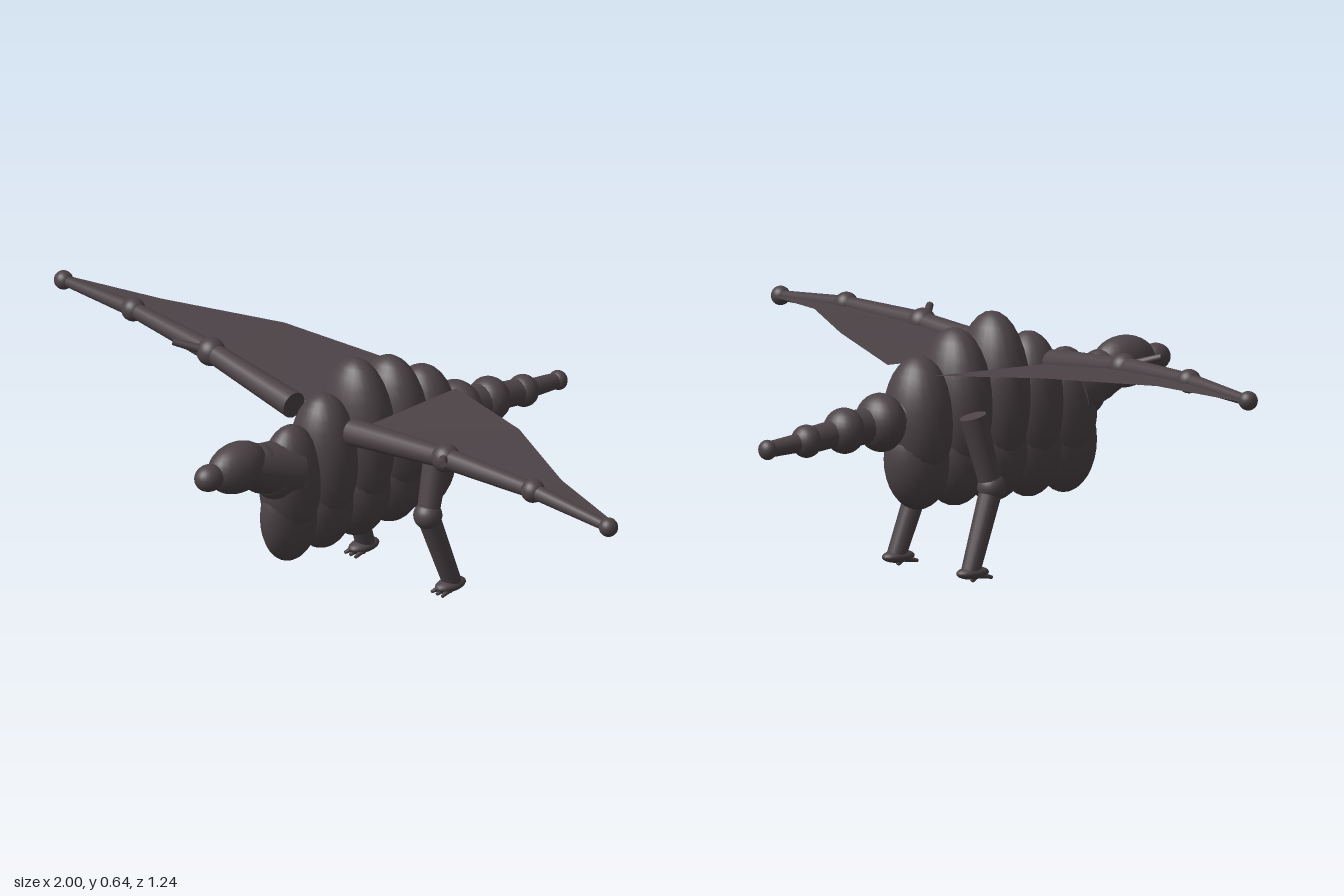
import * as THREE from 'three';

const hide = new THREE.MeshStandardMaterial({ color: 0x4c4347 });
hide.name = 'dark hide';
const wingSkin = new THREE.MeshStandardMaterial({ color: 0x4c4347, side: THREE.DoubleSide });
wingSkin.name = 'wing skin';

const V = (x, y, z) => new THREE.Vector3(x, y, z);

export function createModel() {
  const root = new THREE.Group();
  root.name = 'wingedCreature';

  const add = (parent, name, geo, mat = hide) => {
    const m = new THREE.Mesh(geo, mat);
    m.name = name;
    parent.add(m);
    return m;
  };
  const ball = (parent, name, p, rx, ry = rx, rz = rx) => {
    const m = add(parent, name, new THREE.SphereGeometry(1, 24, 16));
    m.position.copy(p);
    m.scale.set(rx, ry, rz);
    return m;
  };
  // Tapered cylinder from a to b
  const bone = (parent, name, a, b, ra, rb) => {
    const d = b.clone().sub(a);
    const m = add(parent, name, new THREE.CylinderGeometry(rb, ra, d.length(), 16));
    m.position.copy(a).addScaledVector(d, 0.5);
    m.quaternion.setFromUnitVectors(V(0, 1, 0), d.normalize());
    return m;
  };

  // Body: five overlapping ribs, each with a back and a belly lobe [z, top, back width, belly width]
  const body = new THREE.Group();
  body.name = 'body';
  root.add(body);
  [
    [0.305, 0.53, 0.07, 0.055],
    [0.195, 0.58, 0.09, 0.07],
    [0.085, 0.64, 0.11, 0.085],
    [-0.03, 0.61, 0.11, 0.085],
    [-0.14, 0.55, 0.095, 0.075],
  ].forEach(([z, top, back, belly]) => {
    const bottom = 0.225;
    ball(body, 'backLobe', V(0, (top + bottom) / 2, z), back, (top - bottom) / 2, 0.085);
    ball(body, 'bellyLobe', V(0, 0.295, z), belly, 0.128, 0.09);
  });

  // Neck, head and snout
  const head = new THREE.Group();
  head.name = 'headAndNeck';
  root.add(head);
  bone(head, 'neck', V(0, 0.42, 0.32), V(0, 0.465, 0.46), 0.075, 0.052);
  ball(head, 'neckJoint', V(0, 0.425, 0.36), 0.066, 0.075, 0.055);
  ball(head, 'neckJoint', V(0, 0.448, 0.41), 0.056, 0.064, 0.05);
  ball(head, 'skull', V(0, 0.475, 0.485), 0.056, 0.065, 0.088);
  ball(head, 'snout', V(0, 0.477, 0.58), 0.034, 0.034, 0.04);

  // Tail: shrinking joints linked by tapered bones [y, z, radius, length radius]
  const tail = new THREE.Group();
  tail.name = 'tail';
  root.add(tail);
  const joints = [
    [0.405, -0.17, 0.07, 0.06],
    [0.395, -0.255, 0.073, 0.058],
    [0.385, -0.365, 0.057, 0.05],
    [0.37, -0.48, 0.041, 0.037],
    [0.36, -0.598, 0.025, 0.022],
  ];
  joints.forEach(([y, z, r, rz], i) => {
    ball(tail, 'tailJoint', V(0, y, z), r, r, rz);
    const n = joints[i + 1];
    if (n) bone(tail, 'tailBone', V(0, y, z), V(0, n[0], n[1]), r * 0.6, n[2] * 0.8);
  });

  for (const s of [1, -1]) {
    const side = s > 0 ? 'left' : 'right';

    // Wing arm
    const wing = new THREE.Group();
    wing.name = side + 'Wing';
    root.add(wing);
    const arm = [
      V(s * 0.105, 0.513, 0.195), V(s * 0.42, 0.545, 0.178),
      V(s * 0.715, 0.553, 0.162), V(s * 0.975, 0.54, 0.152),
    ];
    bone(wing, 'upperArm', arm[0], arm[1], 0.034, 0.026);
    bone(wing, 'forearm', arm[1], arm[2], 0.027, 0.02);
    bone(wing, 'finger', arm[2], arm[3], 0.02, 0.013);
    ball(wing, 'elbow', arm[1], 0.036);
    ball(wing, 'wrist', arm[2], 0.03);
    ball(wing, 'fingertip', arm[3], 0.024);
    bone(wing, 'thumbClaw', V(s * 0.425, 0.55, 0.19), V(s * 0.483, 0.573, 0.247), 0.012, 0.009);

    // Wing membrane: strip of quads between the arm and the trailing edge
    const trail = [
      V(s * 0.1, 0.515, -0.16), V(s * 0.42, 0.543, 0.0 - 0.07),
      V(s * 0.715, 0.55, 0.065), V(s * 0.98, 0.54, 0.127),
    ];
    const pos = [];
    for (let i = 0; i < 3; i++) {
      const [a, b, c, d] = [arm[i], arm[i + 1], trail[i + 1], trail[i]];
      const tris = s > 0 ? [a, b, c, a, c, d] : [a, c, b, a, d, c];
      tris.forEach((p) => pos.push(p.x, p.y, p.z));
    }
    const skin = new THREE.BufferGeometry();
    skin.setAttribute('position', new THREE.Float32BufferAttribute(pos, 3));
    skin.computeVertexNormals();
    // Corner order is chosen so the upper face is the front
    if (skin.attributes.normal.getY(0) < 0) {
      for (let i = 0; i < pos.length; i += 9) {
        for (let k = 0; k < 3; k++) [pos[i + k], pos[i + 3 + k]] = [pos[i + 3 + k], pos[i + k]];
      }
      skin.setAttribute('position', new THREE.Float32BufferAttribute(pos, 3));
      skin.computeVertexNormals();
    }
    add(wing, 'membrane', skin, wingSkin);

    // Leg and foot
    const leg = new THREE.Group();
    leg.name = side + 'Leg';
    root.add(leg);
    const hip = V(s * 0.132, 0.41, -0.07);
    const knee = V(s * 0.144, 0.23, -0.022);
    const ankle = V(s * 0.155, 0.025, -0.095);
    bone(leg, 'thigh', hip, knee, 0.034, 0.028);
    ball(leg, 'knee', knee, 0.036);
    bone(leg, 'shin', knee, ankle, 0.029, 0.024);
    ball(leg, 'foot', V(s * 0.155, 0.025, -0.088), 0.027, 0.016, 0.046);
    for (const t of [-1, 0, 1]) {
      bone(leg, 'toe', V(s * 0.155 + t * 0.012, 0.02, -0.075),
        V(s * 0.155 + t * 0.019, 0.012, -0.042), 0.009, 0.004);
    }
    bone(leg, 'heelClaw', V(s * 0.155, 0.022, -0.075), V(s * 0.155, 0.004, -0.09), 0.012, 0.005);
  }

  return root;
}
